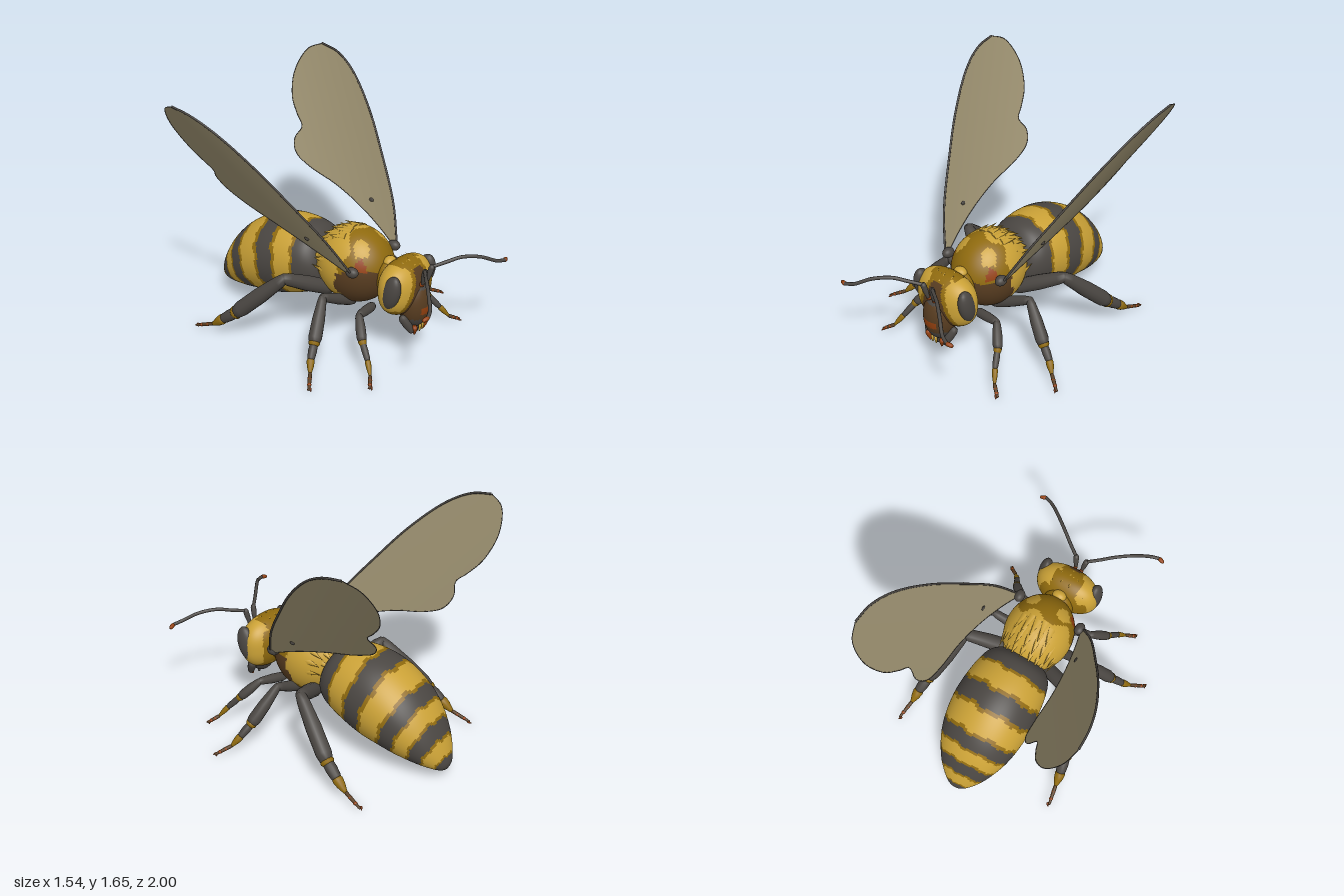
import * as THREE from 'three';

const V = (x, y, z) => new THREE.Vector3(x, y, z);
const flat = (name, color) => Object.assign(new THREE.MeshStandardMaterial({ color }), { name });
const M = {
  dark: flat('charcoal', 0x4a4642),
  yellow: flat('yellow', 0xcaa136),
  ochre: flat('ochre', 0x8f6a0e),
  brown: flat('brown', 0x573c20),
  rust: flat('rust', 0x93400f),
  wing: flat('wing membrane', 0x968b6c),
};
M.wing.side = THREE.DoubleSide;

// Surface swept from rings (u along, v around); each cell takes the colour given by paint(p, u, v)
function surface(name, nu, nv, point, paint, closed = true) {
  const pos = [], lists = new Map(), pts = [], cols = closed ? nv : nv + 1;
  for (let i = 0; i <= nu; i++) for (let j = 0; j < cols; j++) {
    const p = point(i / nu, j / nv);
    pts.push(p);
    pos.push(p.x, p.y, p.z);
  }
  for (let i = 0; i < nu; i++) for (let j = 0; j < nv; j++) {
    const k = (j + 1) % cols;
    const a = i * cols + j, b = a + cols, c = i * cols + k, d = c + cols;
    const mid = pts[a].clone().add(pts[d]).multiplyScalar(0.5);
    const mat = paint(mid, (i + 0.5) / nu, (j + 0.5) / nv);
    if (!lists.has(mat)) lists.set(mat, []);
    lists.get(mat).push(a, b, d, a, d, c);
  }
  const geo = new THREE.BufferGeometry(), index = [], mats = [];
  for (const [mat, list] of lists) {
    geo.addGroup(index.length, list.length, mats.length);
    mats.push(mat);
    for (const n of list) index.push(n);
  }
  geo.setAttribute('position', new THREE.Float32BufferAttribute(pos, 3));
  geo.setIndex(index);
  geo.computeVertexNormals();
  const mesh = new THREE.Mesh(geo, mats);
  mesh.name = name;
  return mesh;
}

// Ellipsoid along z; power below 1 makes the cross-section boxier
const ellipsoid = (c, r, power = 1) => (u, v) => {
  const f = Math.PI * u, t = 2 * Math.PI * v;
  const s = (n) => Math.sign(n) * Math.abs(n) ** power;
  return V(c.x + r.x * Math.sin(f) * s(Math.cos(t)), c.y + r.y * Math.sin(f) * s(Math.sin(t)), c.z + r.z * Math.cos(f));
};

function ball(name, mat, c, r, rx = 0, ry = 0) {
  const m = new THREE.Mesh(new THREE.SphereGeometry(1, 24, 16), mat);
  m.name = name;
  m.position.copy(c);
  m.scale.copy(r);
  m.rotation.set(rx, ry, 0);
  return m;
}

// Rounded limb segment from a to b, swelling slightly in the middle
function segment(name, mat, a, b, r0, r1) {
  const L = a.distanceTo(b), rm = (r0 + r1) * 0.56;
  const prof = [[0, -r0 * 0.6], [r0 * 0.75, -r0 * 0.3], [r0, L * 0.1], [rm, L * 0.5], [r1, L * 0.9], [r1 * 0.75, L + r1 * 0.3], [0, L + r1 * 0.6]];
  const m = new THREE.Mesh(new THREE.LatheGeometry(prof.map(([x, y]) => new THREE.Vector2(x, y)), 14), mat);
  m.name = name;
  m.position.copy(a);
  m.quaternion.setFromUnitVectors(V(0, 1, 0), b.clone().sub(a).normalize());
  return m;
}

const tube = (name, mat, pts, r, n = 32) => {
  const m = new THREE.Mesh(new THREE.TubeGeometry(new THREE.CatmullRomCurve3(pts), n, r, 8), mat);
  m.name = name;
  return m;
};

// Abdomen sections: top z, top y, bottom z, bottom y, half width
const RINGS = [
  [-0.05, 0.50, -0.03, 0.38, 0.03], [-0.09, 0.61, -0.06, 0.30, 0.17], [-0.16, 0.69, -0.12, 0.25, 0.23],
  [-0.25, 0.715, -0.19, 0.215, 0.258], [-0.41, 0.715, -0.30, 0.17, 0.28], [-0.56, 0.675, -0.42, 0.135, 0.288],
  [-0.72, 0.58, -0.55, 0.115, 0.272], [-0.81, 0.495, -0.66, 0.095, 0.245], [-0.88, 0.40, -0.76, 0.08, 0.205],
  [-0.94, 0.29, -0.85, 0.07, 0.155], [-0.985, 0.18, -0.93, 0.062, 0.09], [-1, 0.12, -0.965, 0.062, 0.045], [-0.99, 0.08, -0.985, 0.07, 0.002],
];
const topLine = new THREE.CatmullRomCurve3(RINGS.map((r) => V(r[4], r[1], r[0])));
const lowLine = new THREE.CatmullRomCurve3(RINGS.map((r) => V(0, r[3], r[2])));
const BANDS = [3, 4, 5, 6, 7, 8, 9, 10]; // ring numbers where the stripes change

function abdomen() {
  const point = (u, v) => {
    const a = topLine.getPoint(u), b = lowLine.getPoint(u), t = 2 * Math.PI * v, s = Math.sin(t);
    return V(a.x * Math.cos(t), (a.y + b.y) / 2 + s * (a.y - b.y) / 2, (a.z + b.z) / 2 + s * (a.z - b.z) / 2);
  };
  return surface('abdomen', 144, 72, point, (p, u, v) => {
    const k = u * (RINGS.length - 1) + 0.05 * Math.sin(v * 44) + 0.03 * Math.sin(v * 101);
    if (BANDS.some((b) => Math.abs(k - b) < 0.09)) return M.ochre;
    return BANDS.filter((b) => k > b).length % 2 ? M.yellow : M.dark;
  });
}

function thorax() {
  return surface('thorax', 64, 72, ellipsoid(V(0, 0.52, 0.13), V(0.235, 0.262, 0.27)), (p) => {
    const ax = Math.abs(p.x), w = 0.025 * Math.sin(p.x * 30) + 0.02 * Math.sin(p.y * 40);
    if (ax > 0.15 && Math.hypot(p.y - 0.61, p.z - 0.3) < 0.045) return M.rust;
    if (p.y < 0.57 + w && p.z > 0.14 + w) return M.brown;
    if (p.y < 0.36 + w) return M.ochre;
    if (p.z < 0.17 + w) return M.yellow;
    return p.y > 0.66 && Math.hypot(ax - 0.12, p.z - 0.26) < 0.05 ? M.yellow : M.ochre;
  });
}

function head() {
  const g = new THREE.Group();
  g.name = 'head';
  g.add(surface('headShell', 64, 80, ellipsoid(V(0, 0.49, 0.52), V(0.232, 0.185, 0.14), 0.82), (p) => {
    const ax = Math.abs(p.x), edge = 0.045 + Math.max(0, 0.62 - p.y) * 0.36, w = 0.012 * Math.sin(p.x * 60);
    if (p.z > 0.5 && ax < edge && p.y < 0.64) return M.brown;
    if (p.y < 0.34 + w) return M.brown;
    if (p.y < 0.375 + w || (p.z > 0.5 && ax < edge + 0.03)) return M.ochre;
    if (p.z < 0.43 + w || (p.y > 0.6 && p.z < 0.56 + w && ax < 0.1)) return M.ochre;
    return M.yellow;
  }));
  // Face with its rust patch and dark lower lip
  g.add(surface('face', 48, 48, ellipsoid(V(0, 0.385, 0.595), V(0.112, 0.175, 0.105)), (p) => {
    if (p.z > 0.6 && Math.abs(p.x) < 0.055 && Math.abs(p.y - 0.36) < 0.025) return M.rust;
    return p.y < 0.3 || p.y > 0.5 ? M.dark : M.brown;
  }));
  for (const s of [-1, 1]) {
    g.add(ball('eye', M.dark, V(s * 0.193, 0.515, 0.545), V(0.048, 0.125, 0.066), 0.28, s * 0.2));
    g.add(segment('cheek', M.dark, V(s * 0.11, 0.31, 0.58), V(s * 0.075, 0.21, 0.63), 0.03, 0.022));
    g.add(segment('mandible', M.rust, V(s * 0.065, 0.24, 0.645), V(s * 0.05, 0.18, 0.635), 0.02, 0.008));
    g.add(segment('tooth', M.yellow, V(s * 0.015, 0.24, 0.655), V(s * 0.015, 0.195, 0.65), 0.01, 0.006));
    // Antenna: rust socket, upright scape, drooping whip and rust tip
    g.add(ball('antennaSocket', M.rust, V(s * 0.024, 0.54, 0.66), V(0.014, 0.014, 0.02)));
    g.add(segment('scape', M.dark, V(s * 0.025, 0.55, 0.67), V(s * 0.04, 0.655, 0.695), 0.013, 0.019));
    g.add(tube('antenna', M.dark, [V(s * 0.035, 0.65, 0.69), V(s * 0.12, 0.67, 0.75), V(s * 0.2, 0.69, 0.81), V(s * 0.3, 0.675, 0.89), V(s * 0.39, 0.63, 0.96), V(s * 0.45, 0.617, 0.985)], 0.012));
    g.add(segment('antennaTip', M.rust, V(s * 0.45, 0.617, 0.985), V(s * 0.485, 0.61, 0.975), 0.014, 0.012));
  }
  g.add(segment('tongue', M.dark, V(0, 0.27, 0.62), V(0, 0.18, 0.62), 0.025, 0.01));
  return g;
}

// Flattened tufts of fur lying on an ellipsoid and pointing backwards
function fur(name, c, r, rows, len) {
  const g = new THREE.Group();
  g.name = name;
  rows.forEach(([z, n, spread], row) => {
    for (let i = 0; i < n; i++) {
      const t = ((i + 0.5) / n - 0.5) * spread, q = Math.sqrt(1 - ((z - c.z) / r.z) ** 2);
      const p = V(c.x + r.x * q * Math.sin(t), c.y + r.y * q * Math.cos(t), z);
      const n0 = V((p.x - c.x) / r.x ** 2, (p.y - c.y) / r.y ** 2, (p.z - c.z) / r.z ** 2).normalize();
      const back = V(0.5 * Math.sin(t), 0, -1);
      back.addScaledVector(n0, 0.22 - back.dot(n0)).normalize();
      const m = new THREE.Mesh(new THREE.ConeGeometry(1, 2, 8), M.yellow);
      m.name = 'tuft';
      const side = V().crossVectors(back, n0).normalize();
      m.quaternion.setFromRotationMatrix(new THREE.Matrix4().makeBasis(side, back, V().crossVectors(side, back)));
      m.scale.set(len * 0.42, len * (0.9 + 0.2 * ((i + row) % 2)), len * 0.2);
      m.position.copy(p);
      g.add(m);
    }
  });
  return g;
}

// Wing edges in (z, y)
const edge = (list) => new THREE.CatmullRomCurve3(list.map(([z, y]) => V(0, y, z)));
const LEAD = edge([[0.28, 0.59], [0.17, 0.82], [-0.02, 1.09], [-0.21, 1.33], [-0.42, 1.53], [-0.58, 1.62], [-0.72, 1.65]]);
const TRAIL = edge([[0.26, 0.575], [0.11, 0.66], [-0.075, 0.75], [-0.29, 0.835], [-0.53, 0.91], [-0.66, 0.98], [-0.7, 1.06],
  [-0.675, 1.13], [-0.74, 1.2], [-0.82, 1.3], [-0.865, 1.46], [-0.82, 1.6], [-0.72, 1.65]]);

function wing(s) {
  const g = new THREE.Group();
  g.name = s > 0 ? 'leftWing' : 'rightWing';
  const bend = (p) => {
    const d = Math.max(0, 0.8 * (0.28 - p.z) - 0.6 * (p.y - 0.59));
    return V(s * (0.25 + 0.477 * (p.y - 0.58) - 0.28 * d * d), p.y, p.z);
  };
  g.add(surface('membrane', 60, 12, (u, v) => bend(LEAD.getPointAt(u).lerp(TRAIL.getPointAt(u), v)), () => M.wing, false));
  g.add(tube('leadingVein', M.dark, LEAD.getPoints(24).map(bend), 0.007, 48));
  g.add(tube('trailingVein', M.dark, TRAIL.getPoints(60).map(bend), 0.0025, 90));
  g.add(ball('wingRoot', M.dark, V(s * 0.235, 0.59, 0.27), V(0.035, 0.035, 0.045)));
  g.add(ball('wingSpot', M.dark, bend(V(0, 0.8, 0)), V(0.008, 0.015, 0.018)));
  return g;
}

// Legs: hip, knee, ankle, heel, foot, claw, then thigh, knee, shin and foot radii
const LEGS = {
  frontLeg: [[[0.08, 0.29, 0.32], [0.28, 0.33, 0.36], [0.37, 0.22, 0.45], [0.43, 0.1, 0.55], [0.46, 0.05, 0.58], [0.525, 0.012, 0.625]], [0.032, 0.026, 0.032, 0.02]],
  middleLeg: [[[0.08, 0.28, 0.16], [0.36, 0.42, 0.13], [0.54, 0.2, 0.2], [0.64, 0.1, 0.24], [0.67, 0.06, 0.265], [0.765, 0.012, 0.33]], [0.036, 0.03, 0.044, 0.026]],
  hindLeg: [[[0.12, 0.34, 0], [0.43, 0.5, -0.13], [0.55, 0.2, -0.44], [0.58, 0.1, -0.57], [0.585, 0.06, -0.62], [0.61, 0.012, -0.755]], [0.05, 0.042, 0.054, 0.036]],
};

function leg(name, s, [pts, [r0, r1, r2, r3]]) {
  const g = new THREE.Group();
  g.name = name;
  const [hip, knee, ankle, heel, foot, claw] = pts.map(([x, y, z]) => V(s * x, y, z));
  const cuff = heel.clone().lerp(ankle, 0.2);
  g.add(segment('thigh', M.dark, hip, knee, r0, r1), segment('shin', M.dark, knee, ankle, r1, r2));
  g.add(segment('ankleCuff', M.ochre, ankle, ankle.clone().lerp(heel, 0.2), r2 * 0.85, r3));
  g.add(segment('heel', M.dark, ankle, cuff, r3, r3 * 0.95), segment('heelCuff', M.ochre, cuff, foot, r3, r3 * 0.5));
  g.add(segment('foot', M.brown, foot, claw, 0.013, 0.009));
  for (const t of [0.35, 0.7]) g.add(ball('footJoint', M.rust, foot.clone().lerp(claw, t), V(0.014, 0.012, 0.014)));
  for (const k of [-1, 1]) g.add(segment('claw', M.rust, claw.clone().add(V(-s * 0.015, 0.004, 0)), claw.clone().add(V(0, -0.006, k * 0.014)), 0.007, 0.004));
  return g;
}

export function createModel() {
  const bee = new THREE.Group();
  bee.name = 'bee';
  bee.add(abdomen(), thorax(), head());
  bee.add(ball('neck', M.ochre, V(0, 0.5, 0.4), V(0.11, 0.13, 0.08)));
  bee.add(ball('collar', M.yellow, V(0, 0.61, 0.4), V(0.05, 0.04, 0.04)));
  bee.add(ball('waist', M.dark, V(0, 0.45, -0.08), V(0.13, 0.13, 0.08)));
  bee.add(fur('thoraxFur', V(0, 0.52, 0.13), V(0.235, 0.262, 0.27), [[0.06, 5, 1.3], [-0.02, 11, 3.6], [-0.08, 9, 3.8]], 0.07));
  bee.add(fur('headFur', V(0, 0.49, 0.52), V(0.225, 0.18, 0.14), [[0.56, 5, 1.3], [0.5, 6, 1.6]], 0.04));
  for (const s of [-1, 1]) {
    bee.add(wing(s));
    for (const name in LEGS) bee.add(leg(name, s, LEGS[name]));
  }
  return bee;
}
